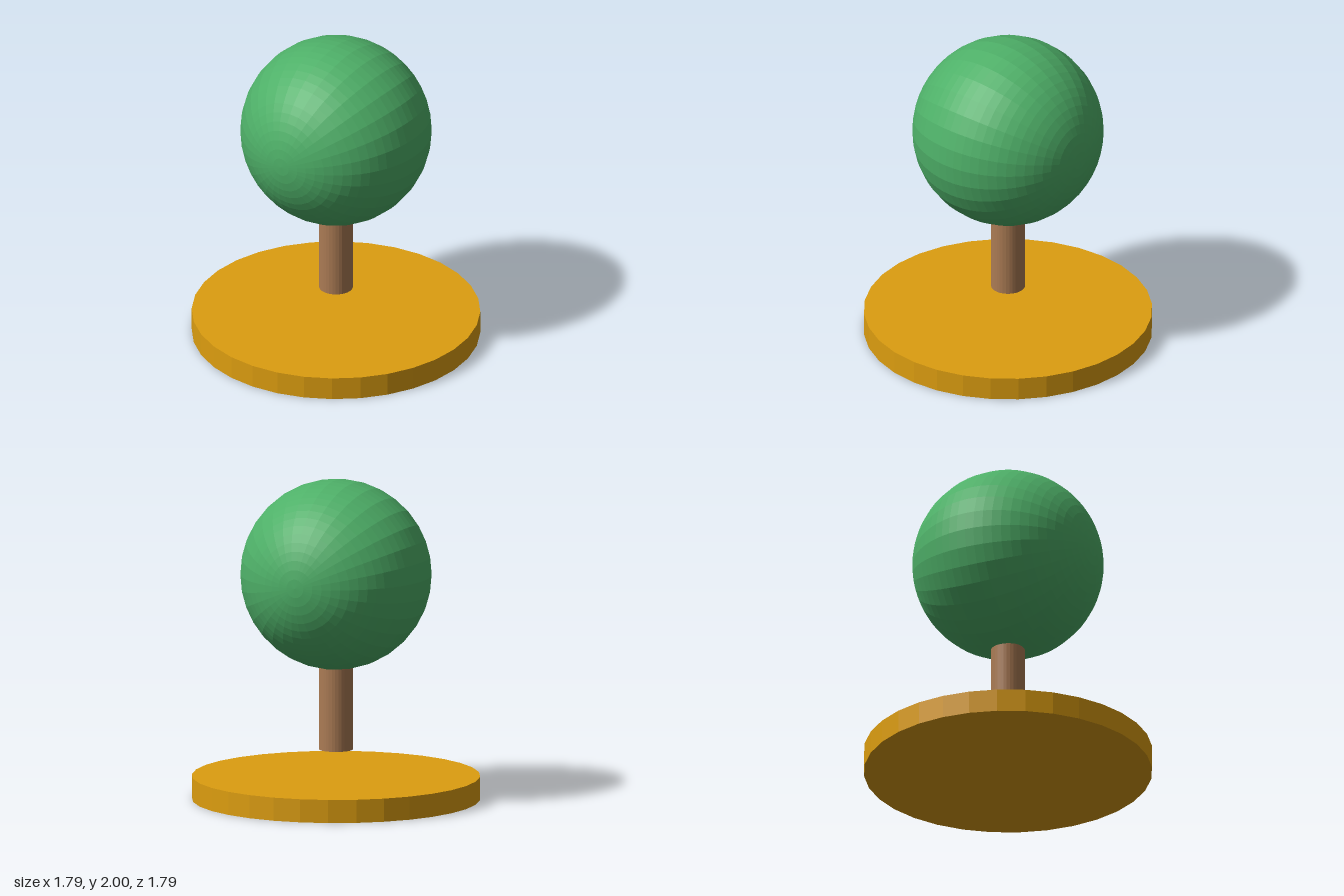
import * as THREE from 'three';

export function createModel() {
  const model = new THREE.Group();

  const flat = (name, color) => {
    const m = new THREE.MeshStandardMaterial({ color });
    m.name = name;
    return m;
  };
  const green = flat('leaf green', 0x4eb068);
  const brown = flat('bark brown', 0xab7b54);
  const gold = flat('golden yellow', 0xdc9d10);

  // Un-indexed geometry with face normals gives crisp facets
  const facet = (geometry) => {
    const g = geometry.toNonIndexed();
    g.computeVertexNormals();
    return g;
  };
  const add = (name, geometry, material, y) => {
    const mesh = new THREE.Mesh(facet(geometry), material);
    mesh.name = name;
    mesh.position.y = y;
    model.add(mesh);
  };

  // Flat round base
  add('base', new THREE.CylinderGeometry(0.893, 0.893, 0.145, 32), gold, 0.0725);

  // Trunk floating above the base, its top sunk into the crown
  const bottom = 0.31, top = 0.9;
  add('trunk', new THREE.CylinderGeometry(0.105, 0.105, top - bottom, 32), brown, (bottom + top) / 2);

  // Round crown with its poles facing front and back
  add('crown', new THREE.SphereGeometry(0.592, 32, 32).rotateX(Math.PI / 2), green, 1.408);

  return model;
}
